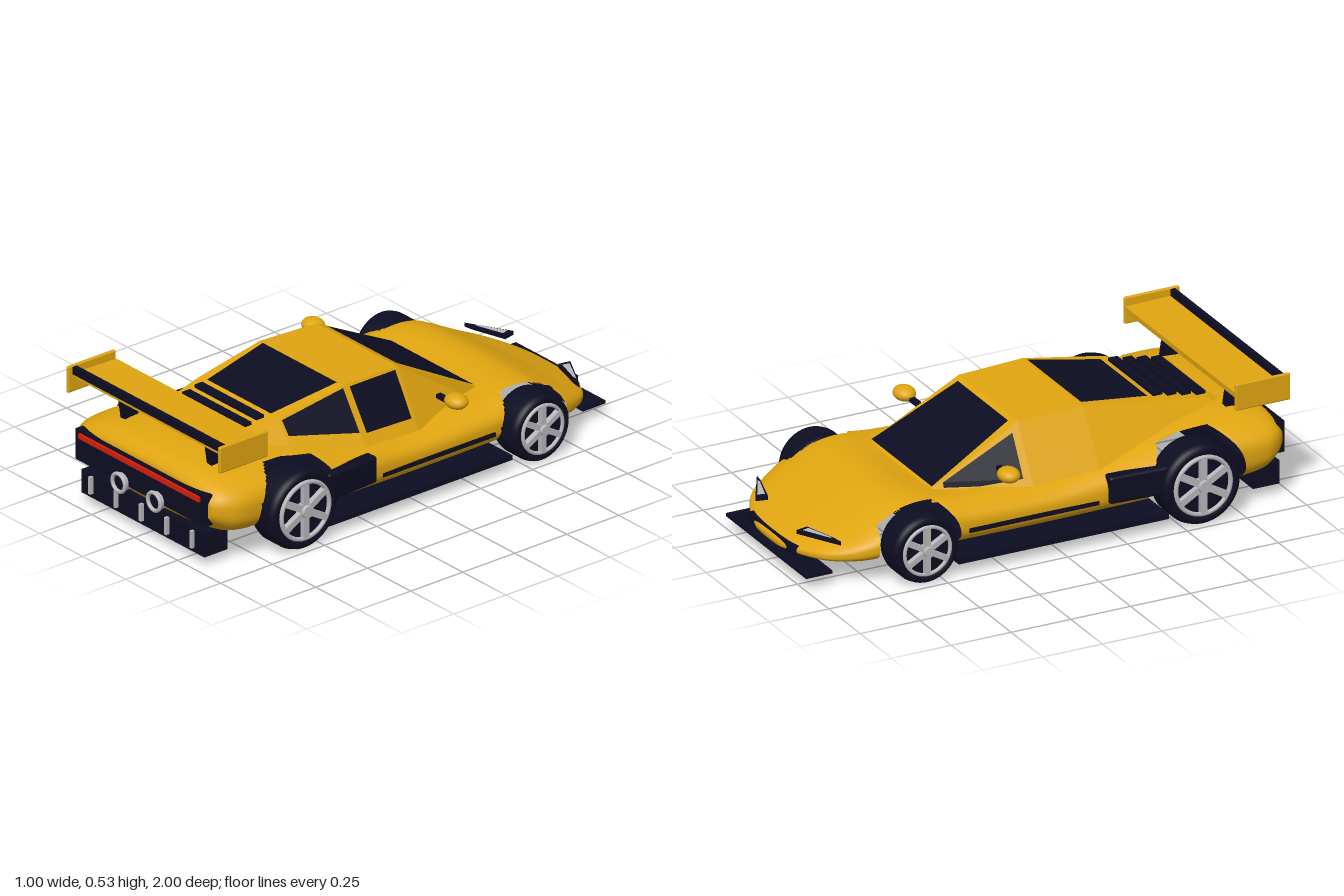
import * as THREE from 'three';
import { RoundedBoxGeometry } from 'three/addons/geometries/RoundedBoxGeometry.js';

// Body sections: z, half width, bottom, top
const BODY = [
  [-0.99, 0.1, 0.09, 0.115], [-0.96, 0.2, 0.085, 0.13], [-0.9, 0.31, 0.08, 0.155], [-0.8, 0.385, 0.072, 0.2],
  [-0.7, 0.42, 0.07, 0.255], [-0.62, 0.43, 0.07, 0.293], [-0.52, 0.43, 0.07, 0.307], [-0.35, 0.43, 0.07, 0.288],
  [0, 0.43, 0.07, 0.28], [0.3, 0.44, 0.07, 0.322], [0.55, 0.45, 0.072, 0.362], [0.75, 0.455, 0.08, 0.37],
  [0.87, 0.45, 0.1, 0.362], [0.93, 0.42, 0.14, 0.345], [0.96, 0.385, 0.175, 0.312],
];
// Cabin sections: z, base half width, base height, roof half width, roof height
const CABIN = [
  [-0.44, 0.255, 0.22, 0.245, 0.27], [-0.07, 0.36, 0.25, 0.235, 0.467], [0.2, 0.375, 0.27, 0.242, 0.475],
  [0.5, 0.32, 0.31, 0.23, 0.425], [0.75, 0.245, 0.34, 0.2, 0.378], [0.82, 0.22, 0.32, 0.19, 0.355],
];
// Wheels: z, height of axle, tyre radius, arch radius, outer x
const WHEELS = [
  { name: 'frontWheel', z: -0.572, y: 0.14, r: 0.134, arch: 0.166, out: 0.475 },
  { name: 'rearWheel', z: 0.577, y: 0.167, r: 0.161, arch: 0.196, out: 0.485 },
];

// Smooth interpolation of a table by its first column
function smoothRow(t, z) {
  let i = 0;
  while (i < t.length - 2 && z > t[i + 1][0]) i++;
  const slope = (k, c) => {
    const a = t[Math.max(0, k - 1)], b = t[Math.min(t.length - 1, k + 1)];
    return (b[c] - a[c]) / (b[0] - a[0]);
  };
  const h = t[i + 1][0] - t[i][0], u = (z - t[i][0]) / h, u2 = u * u, u3 = u2 * u;
  return t[i].map((v, c) => (2 * u3 - 3 * u2 + 1) * v + (u3 - 2 * u2 + u) * h * slope(i, c)
    + (3 * u2 - 2 * u3) * t[i + 1][c] + (u3 - u2) * h * slope(i + 1, c));
}

function linearRow(t, z) {
  let i = 0;
  while (i < t.length - 2 && z > t[i + 1][0]) i++;
  const u = (z - t[i][0]) / (t[i + 1][0] - t[i][0]);
  return t[i].map((v, c) => v + (t[i + 1][c] - v) * u);
}

// Rounded shell with open wheel arches
function bodyGeometry() {
  const rows = 200, cols = 112, pos = [], idx = [];
  const pw = (v) => Math.sign(v) * Math.abs(v) ** (2 / 2.8);
  for (let i = 0; i <= rows; i++) {
    const z0 = -0.99 + 1.95 * i / rows;
    const [, w, lo, hi] = smoothRow(BODY, z0);
    for (let j = 0; j < cols; j++) {
      const a = j / cols * Math.PI * 2;
      const x = w * pw(Math.cos(a));
      let y = (lo + hi) / 2 + (hi - lo) / 2 * pw(Math.sin(a)), z = z0;
      // hood dips between the front fenders
      if (Math.sin(a) > 0) y -= 0.035 * Math.exp(-(((z + 0.42) / 0.2) ** 2)) * Math.max(0, 1 - (x / 0.34) ** 2);
      // pull nearby points onto the arch edge
      for (const k of WHEELS) {
        const d = Math.hypot(z - k.z, y - k.y);
        if (Math.abs(x) > 0.34 && Math.abs(d - k.arch) < 0.006) {
          z = k.z + (z - k.z) * k.arch / d;
          y = k.y + (y - k.y) * k.arch / d;
        }
      }
      pos.push(x, y, z);
    }
  }
  const inArch = (ids) => {
    const c = [0, 1, 2].map((n) => ids.reduce((s, id) => s + pos[id * 3 + n], 0) / ids.length);
    return Math.abs(c[0]) > 0.34 && WHEELS.some((k) => Math.hypot(c[2] - k.z, c[1] - k.y) < k.arch);
  };
  const tri = (...ids) => { if (!inArch(ids)) idx.push(...ids); };
  for (let i = 0; i < rows; i++) for (let j = 0; j < cols; j++) {
    const n = (j + 1) % cols, a = i * cols + j, b = i * cols + n;
    tri(a, b, b + cols);
    tri(a, b + cols, a + cols);
  }
  // nose and tail caps
  const nose = pos.length / 3, last = rows * cols;
  pos.push(0, 0.1, -0.992, 0, 0.24, 0.962);
  for (let j = 0; j < cols; j++) {
    const n = (j + 1) % cols;
    idx.push(nose, n, j, nose + 1, last + j, last + n);
  }
  const g = new THREE.BufferGeometry();
  g.setAttribute('position', new THREE.Float32BufferAttribute(pos, 3));
  g.setIndex(idx);
  g.computeVertexNormals();
  return g;
}

function facets(quads) {
  const g = new THREE.BufferGeometry();
  const pts = quads.flatMap(([a, b, c, d]) => [a, b, c, a, c, d]);
  g.setAttribute('position', new THREE.Float32BufferAttribute(pts.flatMap((p) => [p.x, p.y, p.z]), 3));
  g.computeVertexNormals();
  return g;
}

const V = (x, y, z) => new THREE.Vector3(x, y, z);

function cabinGeometry() {
  const rings = CABIN.map(([z, bw, by, tw, ty]) => [V(bw, by, z), V(tw, ty, z), V(-tw, ty, z), V(-bw, by, z)]);
  const quads = [];
  for (let i = 0; i < rings.length - 1; i++) for (let j = 0; j < 3; j++)
    quads.push([rings[i][j], rings[i][j + 1], rings[i + 1][j + 1], rings[i + 1][j]]);
  return facets(quads);
}

// Point on the cabin side: t = 0 at the base, 1 at the roof edge
function onSide(z, t, s) {
  const [, bw, by, tw, ty] = linearRow(CABIN, z);
  return V(s * (bw + (tw - bw) * t), by + (ty - by) * t, z);
}
const onRoof = (z, x) => V(x, linearRow(CABIN, z)[4], z);

// Pane lifted slightly off the cabin
function pane(p) {
  const n = p[2].clone().sub(p[0]).cross(p[3].clone().sub(p[1])).normalize();
  if (n.dot(p[0].clone().sub(V(0, 0.2, 0.1))) < 0) n.negate();
  return facets([p.map((q) => q.clone().addScaledVector(n, 0.005))]);
}

export function createModel() {
  const model = new THREE.Group();
  const yellow = new THREE.MeshStandardMaterial({ color: 0xe0a510 });
  const dark = new THREE.MeshStandardMaterial({ color: 0x0d0d22, side: THREE.DoubleSide });
  const silver = new THREE.MeshStandardMaterial({ color: 0xb8b8bc, side: THREE.DoubleSide });
  const red = new THREE.MeshStandardMaterial({ color: 0xd81e0c });
  Object.entries({ yellow, dark, silver, red }).forEach(([n, m]) => { m.name = n; });

  const add = (name, geo, mat, x = 0, y = 0, z = 0, parent = model) => {
    const m = new THREE.Mesh(geo, mat);
    m.name = name;
    m.position.set(x, y, z);
    parent.add(m);
    return m;
  };
  const box = (name, mat, w, h, d, x, y, z, parent) => add(name, new THREE.BoxGeometry(w, h, d), mat, x, y, z, parent);

  add('body', bodyGeometry(), yellow);
  add('cabin', cabinGeometry(), yellow);

  // Glass
  add('windshield', pane([onRoof(-0.43, -0.24), onRoof(-0.43, 0.24), onRoof(-0.09, 0.2), onRoof(-0.09, -0.2)]), dark);
  add('rearWindow', pane([onRoof(0.205, -0.215), onRoof(0.205, 0.215), onRoof(0.497, 0.185), onRoof(0.497, -0.185)]), dark);
  add('doorWindow', pane([onSide(-0.05, 0.2, 1), onSide(0.175, 0.2, 1), onSide(0.175, 0.95, 1), onSide(-0.05, 0.96, 1)]), dark);
  add('rearSideWindow', pane([onSide(0.205, 0.23, 1), onSide(0.49, 0.5, 1), onSide(0.49, 0.93, 1), onSide(0.205, 0.96, 1)]), dark);
  add('frontSideWindow', pane([onSide(-0.1, 0.15, -1), onSide(-0.39, 0.4, -1), onSide(-0.39, 0.9, -1), onSide(-0.1, 0.9, -1)]), dark);

  // Engine cover louvers
  for (let i = 0; i < 4; i++) {
    const z = 0.545 + i * 0.06;
    box('louver', dark, 0.36, 0.012, 0.038, 0, onRoof(z, 0).y + 0.01, z);
  }

  // Floor, splitter and nose trim
  box('floor', dark, 0.92, 0.02, 0.88, 0, 0.061, 0.005);
  box('splitter', dark, 0.64, 0.012, 0.11, 0, 0.061, -0.945);
  box('noseTrim', dark, 0.36, 0.035, 0.04, 0, 0.107, -0.962);

  // Tail
  box('tailPanel', dark, 0.754, 0.125, 0.035, 0, 0.243, 0.955);
  box('lightBar', red, 0.7, 0.02, 0.012, 0, 0.286, 0.976);
  box('diffuser', dark, 0.715, 0.095, 0.11, 0, 0.093, 0.905);
  for (let i = -2; i <= 2; i++) box('diffuserFin', silver, 0.013, 0.07, 0.06, i * 0.147, 0.1, 0.945);

  // Rear wing
  const blade = box('wingBlade', yellow, 0.87, 0.02, 0.2, 0, 0.488, 0.83);
  blade.rotation.x = -0.02;
  box('wingFlap', dark, 0.866, 0.03, 0.02, 0, 0.512, 0.93);

  const lampShape = (pts) => new THREE.Shape(pts.map(([x, z]) => new THREE.Vector2(x, z)));
  for (const s of [1, -1]) {
    add('wingEndPlate', new RoundedBoxGeometry(0.016, 0.108, 0.23, 2, 0.006), yellow, s * 0.441, 0.477, 0.845);
    const strut = box('wingStrut', dark, 0.027, 0.14, 0.065, s * 0.251, 0.415, 0.825);
    strut.rotation.x = 0.15;

    // Exhausts
    const tip = add('exhaustRing', new THREE.TorusGeometry(0.036, 0.008, 10, 28), silver, s * 0.103, 0.19, 0.991);
    add('exhaustPipe', new THREE.CylinderGeometry(0.036, 0.036, 0.05, 28, 1, true).rotateX(Math.PI / 2), silver, 0, 0, -0.02, tip);
    add('exhaustCore', new THREE.CircleGeometry(0.035, 28), dark, 0, 0, -0.005, tip);

    // Mirrors
    const mirror = add('mirror', new THREE.SphereGeometry(1, 24, 16), yellow, s * 0.415, 0.35, -0.203);
    mirror.scale.set(0.05, 0.029, 0.042);
    box('mirrorStalk', dark, 0.07, 0.016, 0.022, s * 0.355, 0.34, -0.195);

    // Side intake and stripe
    const intake = add('sideIntake', new RoundedBoxGeometry(0.055, 0.11, 0.245, 3, 0.012), dark, s * 0.43, 0.208, 0.327);
    intake.rotation.y = s * 0.05;
    box('sideStripe', dark, 0.02, 0.016, 0.54, s * 0.427, 0.165, -0.105);

    // Headlights
    const frame = lampShape([[s * 0.335, 0.862], [s * 0.165, 0.958], [s * 0.155, 0.91], [s * 0.295, 0.868]]);
    const lens = lampShape([[s * 0.295, 0.88], [s * 0.18, 0.942], [s * 0.172, 0.913], [s * 0.28, 0.878]]);
    const lamp = add('headlightFrame', new THREE.ExtrudeGeometry(frame, { depth: 0.016, bevelEnabled: false }), dark, 0, 0.168, 0);
    lamp.rotation.x = -Math.PI / 2;
    add('headlight', new THREE.ShapeGeometry(lens), silver, 0, 0, 0.018, lamp);

    // Wheels, built with the outer face toward +x
    for (const k of WHEELS) {
      const wheel = new THREE.Group();
      wheel.name = k.name;
      wheel.position.set(s * (k.out - 0.07), k.y, k.z);
      wheel.rotation.y = s > 0 ? 0 : Math.PI;
      model.add(wheel);
      const r = k.r, ri = r * 0.74;
      const profile = [[ri, -0.06], [r * 0.86, -0.07], [r * 0.96, -0.062], [r, -0.042], [r, 0.042], [r * 0.96, 0.062], [r * 0.86, 0.07], [ri, 0.06]]
        .map(([a, b]) => new THREE.Vector2(a, b));
      add('tyre', new THREE.LatheGeometry(profile, 48).rotateZ(-Math.PI / 2), dark, 0, 0, 0, wheel);
      add('wheelBack', new THREE.CylinderGeometry(ri, ri, 0.09, 40).rotateZ(-Math.PI / 2), dark, 0, 0, 0, wheel);
      add('rim', new THREE.TorusGeometry(ri * 0.96, r * 0.055, 10, 40).rotateY(Math.PI / 2), silver, 0.066, 0, 0, wheel);
      add('hub', new THREE.CylinderGeometry(r * 0.15, r * 0.18, 0.045, 20).rotateZ(-Math.PI / 2), silver, 0.065, 0, 0, wheel);
      for (let i = 0; i < 6; i++) {
        const spoke = box('spoke', silver, 0.022, ri * 0.9, r * 0.16, 0.063, 0, 0, wheel);
        spoke.geometry.translate(0, ri * 0.5, 0);
        spoke.rotation.x = i * Math.PI / 3;
      }
    }
  }
  return model;
}
